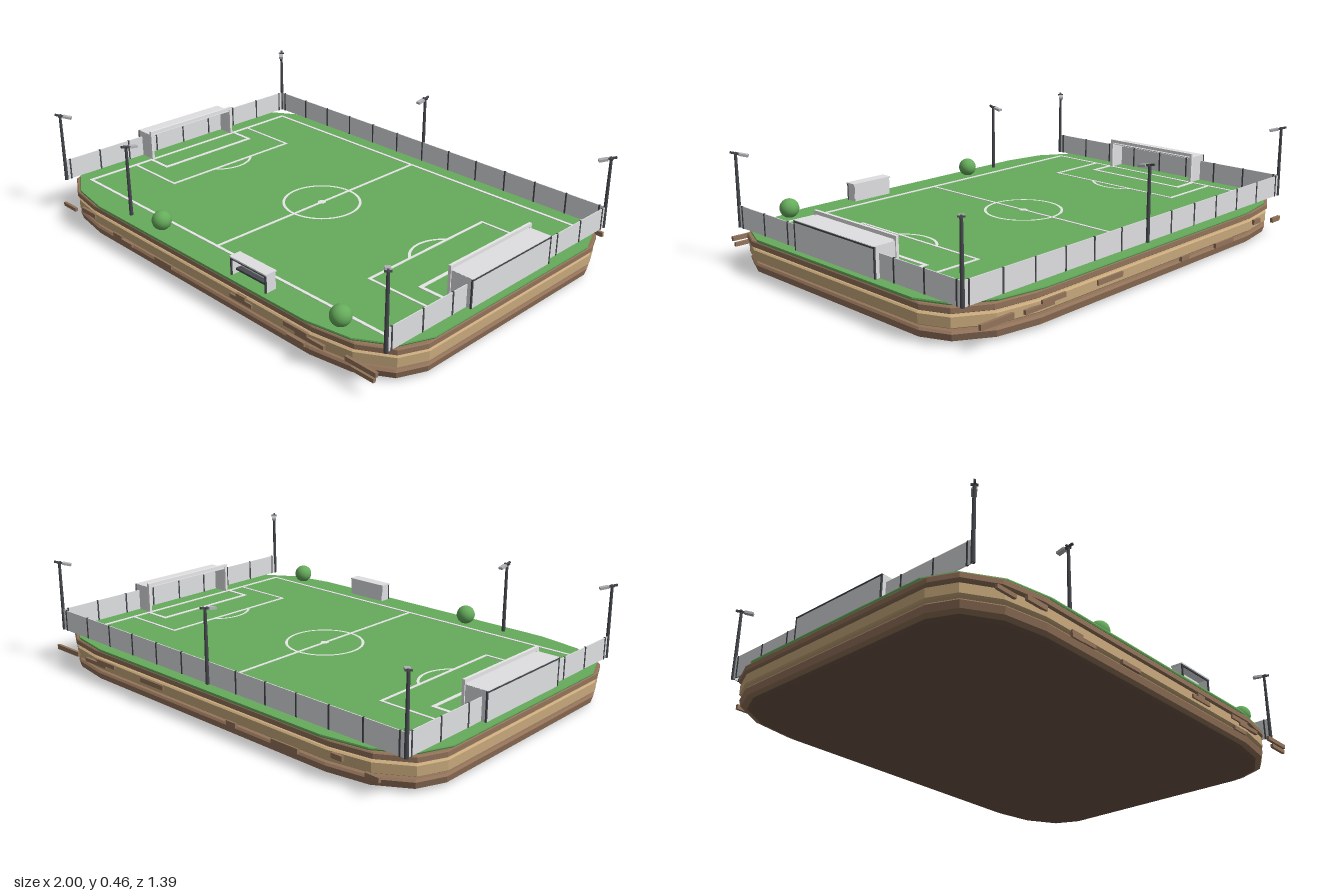
import * as THREE from 'three';

const mat = (name, color, side = THREE.FrontSide) => {
  const m = new THREE.MeshStandardMaterial({ color, side });
  m.name = name;
  return m;
};

export function createModel() {
  const grass = mat('grass green', 0x66ac5c);
  const line = mat('line white', 0xf2f2f2);
  const panel = mat('panel grey', 0xdfe0e3, THREE.DoubleSide);
  const steel = mat('dark steel', 0x46494e);
  const lampGrey = mat('lamp grey', 0xb4b6ba);
  const tan = mat('tan earth', 0xc8a97c);
  const brown = mat('brown earth', 0x93735a);
  const darkBrown = mat('dark earth', 0x6a5444);
  const model = new THREE.Group();
  model.name = 'footballPitch';
  const TOP = 0.15;

  const add = (parent, name, geo, material, x = 0, y = 0, z = 0) => {
    const m = new THREE.Mesh(geo, material);
    m.name = name;
    m.position.set(x, y, z);
    parent.add(m);
    return m;
  };
  const box = (parent, name, material, w, h, d, x, y, z) =>
    add(parent, name, new THREE.BoxGeometry(w, h, d), material, x, y, z);
  const group = (name, parent = model) => {
    const g = new THREE.Group();
    g.name = name;
    parent.add(g);
    return g;
  };

  // Rounded rectangle outline, three segments on each corner
  const outline = (hx, hz, rx, rz) => {
    const pts = [];
    for (let q = 0; q < 4; q++) {
      const sx = q === 0 || q === 3 ? 1 : -1, sz = q < 2 ? 1 : -1;
      for (let k = 0; k <= 3; k++) {
        const a = (q + k / 3) * Math.PI / 2;
        pts.push([sx * (hx - rx) + rx * Math.cos(a), sz * (hz - rz) + rz * Math.sin(a)]);
      }
    }
    return pts;
  };

  // Slab lofted through [height, inset] rings, capped at both ends
  const slab = (name, material, hx, hz, rx, rz, rings) => {
    const loops = rings.map(([y, i]) =>
      outline(hx - i, hz - i, rx, rz).map(([x, z]) => [x, y, z]));
    const n = loops[0].length, pos = [];
    const tri = (...p) => p.forEach(v => pos.push(...v));
    const last = loops.length - 1;
    for (let k = 0; k < n; k++) {
      const j = (k + 1) % n;
      for (let r = 0; r < last; r++) {
        const lo = loops[r], up = loops[r + 1];
        tri(lo[k], up[k], up[j]);
        tri(lo[k], up[j], lo[j]);
      }
      tri([0, rings[0][0], 0], loops[0][k], loops[0][j]);
      tri([0, rings[last][0], 0], loops[last][j], loops[last][k]);
    }
    const g = new THREE.BufferGeometry();
    g.setAttribute('position', new THREE.Float32BufferAttribute(pos, 3));
    g.computeVertexNormals();
    add(model, name, g, material);
  };

  // Layered ground
  slab('bedrock', darkBrown, 0.97, 0.665, 0.35, 0.21, [[0, 0.012], [0.008, 0], [0.139, 0]]);
  slab('lowerEarth', brown, 0.994, 0.69, 0.35, 0.215, [[0.008, 0.02], [0.016, 0.006], [0.042, 0], [0.05, 0.006]]);
  slab('middleEarth', tan, 0.997, 0.69, 0.35, 0.215, [[0.06, 0.006], [0.065, 0], [0.102, 0], [0.107, 0.006]]);
  slab('upperEarth', brown, 1.0, 0.69, 0.34, 0.205, [[0.113, 0.006], [0.117, 0], [0.136, 0], [0.14, 0.003]]);
  slab('turf', grass, 0.999, 0.692, 0.38, 0.24, [[0.14, 0.002], [0.145, 0], [TOP, 0.001]]);

  // Loose stone slivers: centre x, centre y, width, height
  const stones = group('stones');
  const front = [[-0.7, 0.093, 0.1, 0.02], [-0.49, 0.055, 0.06, 0.028], [-0.45, 0.05, 0.12, 0.014],
    [-0.18, 0.056, 0.11, 0.016], [0.29, 0.085, 0.12, 0.016], [0.29, 0.097, 0.05, 0.02],
    [0.58, 0.095, 0.12, 0.018], [0.65, 0.083, 0.14, 0.016], [0.58, 0.05, 0.09, 0.016],
    [0.89, 0.093, 0.14, 0.018], [0.9, 0.067, 0.1, 0.016], [-0.85, 0.07, 0.09, 0.016]];
  const back = [[-0.855, 0.07, 0.06, 0.02], [-0.7, 0.093, 0.05, 0.02], [-0.455, 0.055, 0.13, 0.02],
    [-0.18, 0.056, 0.05, 0.02], [0.28, 0.09, 0.14, 0.02], [0.58, 0.095, 0.12, 0.018],
    [0.65, 0.083, 0.14, 0.016], [0.85, 0.09, 0.15, 0.02]];
  [[front, 1], [back, -1]].forEach(([list, s]) => list.forEach(([x, y, w, h]) =>
    box(stones, 'stone', brown, w, h, 0.012, x, y, s * 0.691)));

  // Pitch markings
  const marks = group('markings');
  const LY = TOP + 0.001;
  const mark = (x0, z0, x1, z1, t = 0.011) => box(marks, 'line', line,
    Math.abs(x1 - x0) + t, 0.003, Math.abs(z1 - z0) + t, (x0 + x1) / 2, LY, (z0 + z1) / 2);
  const ring = (x, r0, r1, start = 0, len = Math.PI * 2) =>
    add(marks, 'circleLine', new THREE.RingGeometry(r0, r1, 48, 1, start, len).rotateX(-Math.PI / 2),
      line, x, LY + 0.0016, 0);
  mark(0, -0.565, 0, 0.565);
  ring(0, 0.155, 0.166);
  ring(0, 0, 0.017);
  for (const s of [-1, 1]) {
    mark(-0.87, s * 0.565, 0.87, s * 0.565, 0.013);
    mark(s * 0.87, -0.565, s * 0.87, 0.565, 0.013);
    for (const [x, z, t] of [[0.585, 0.33, 0.011], [0.755, 0.243, 0.015]]) {
      mark(s * x, -z, s * x, z, t);
      for (const e of [-1, 1]) mark(s * x, e * z, s * 0.87, e * z, t);
    }
    const half = 0.9;
    ring(s * 0.675, 0.136, 0.147, (s > 0 ? Math.PI : 0) - half, half * 2);
  }

  // Fence along the back and both ends
  const fence = group('fence');
  const FH = 0.09, step = 0.154;
  const post = (x, z) => box(fence, 'fencePost', steel, 0.007, FH + 0.002, 0.007, x, TOP + FH / 2, z);
  box(fence, 'backFence', panel, 1.9, FH, 0.004, 0, TOP + FH / 2, -0.64);
  for (let i = -6; i <= 6; i++) post(i * step, -0.64);
  for (const s of [-1, 1]) {
    box(fence, 'endFence', panel, 0.004, FH, 1.285, s * 0.95, TOP + FH / 2, 0);
    for (let i = -4; i <= 4; i++) post(s * 0.95, i * step);
  }

  // Goals: white mouth frame, net with open front, dark rear frame
  for (const s of [-1, 1]) {
    const goal = group('goal');
    const H = 0.115, y = TOP + H / 2, cx = s * 0.922;
    box(goal, 'crossbar', line, 0.012, 0.014, 0.474, s * 0.875, 0.278, 0);
    box(goal, 'netRoof', panel, 0.1, 0.003, 0.464, cx, TOP + H, 0);
    box(goal, 'netBack', panel, 0.003, H, 0.464, s * 0.971, y, 0);
    box(goal, 'rearBar', steel, 0.006, 0.006, 0.464, s * 0.971, TOP + H - 0.004, 0);
    for (const t of [-1, 1]) {
      box(goal, 'goalPost', line, 0.012, 0.135, 0.012, s * 0.875, 0.2175, t * 0.231);
      box(goal, 'netSide', panel, 0.096, H, 0.003, cx, y, t * 0.231);
      box(goal, 'rearPost', steel, 0.006, H, 0.006, s * 0.971, y, t * 0.231);
    }
  }

  // Floodlights: pole, arm and lamp aimed at the pitch
  const floodlight = (x, z, turn) => {
    const f = group('floodlight');
    f.position.set(x, TOP, z);
    f.rotation.y = turn;
    add(f, 'pole', new THREE.CylinderGeometry(0.006, 0.008, 0.295, 8), steel, 0, 0.1475, 0);
    const head = group('lampHead', f);
    head.position.set(0, 0.299, 0);
    head.rotation.x = 0.2;
    box(head, 'arm', steel, 0.008, 0.008, 0.068, 0, 0, 0.012);
    box(head, 'crossArm', steel, 0.026, 0.006, 0.008, 0, 0, 0);
    box(head, 'lamp', lampGrey, 0.02, 0.01, 0.036, 0, 0, 0.032);
  };
  for (const sx of [-1, 1]) for (const sz of [-1, 1])
    floodlight(sx * 0.95, sz * 0.64, Math.atan2(-sx, -sz));
  floodlight(0, -0.645, 0);
  floodlight(-0.46, 0.64, Math.PI);

  // Team shelter
  const shelter = group('shelter');
  shelter.position.set(0.305, TOP, 0.645);
  box(shelter, 'shelterRoof', panel, 0.2, 0.006, 0.052, 0, 0.074, 0);
  box(shelter, 'shelterBack', panel, 0.19, 0.072, 0.004, 0, 0.036, -0.023);
  box(shelter, 'bench', steel, 0.185, 0.008, 0.022, 0, 0.018, -0.008);
  box(shelter, 'roofEdge', steel, 0.196, 0.006, 0.005, 0, 0.068, 0.022);
  for (const s of [-1, 1]) {
    box(shelter, 'shelterSide', panel, 0.004, 0.072, 0.046, s * 0.094, 0.036, 0);
    box(shelter, 'shelterPost', steel, 0.006, 0.072, 0.006, s * 0.094, 0.036, 0.022);
  }

  // Round bushes
  for (const x of [-0.27, 0.73])
    add(model, 'bush', new THREE.SphereGeometry(0.04, 20, 14), grass, x, 0.187, 0.625);

  return model;
}
